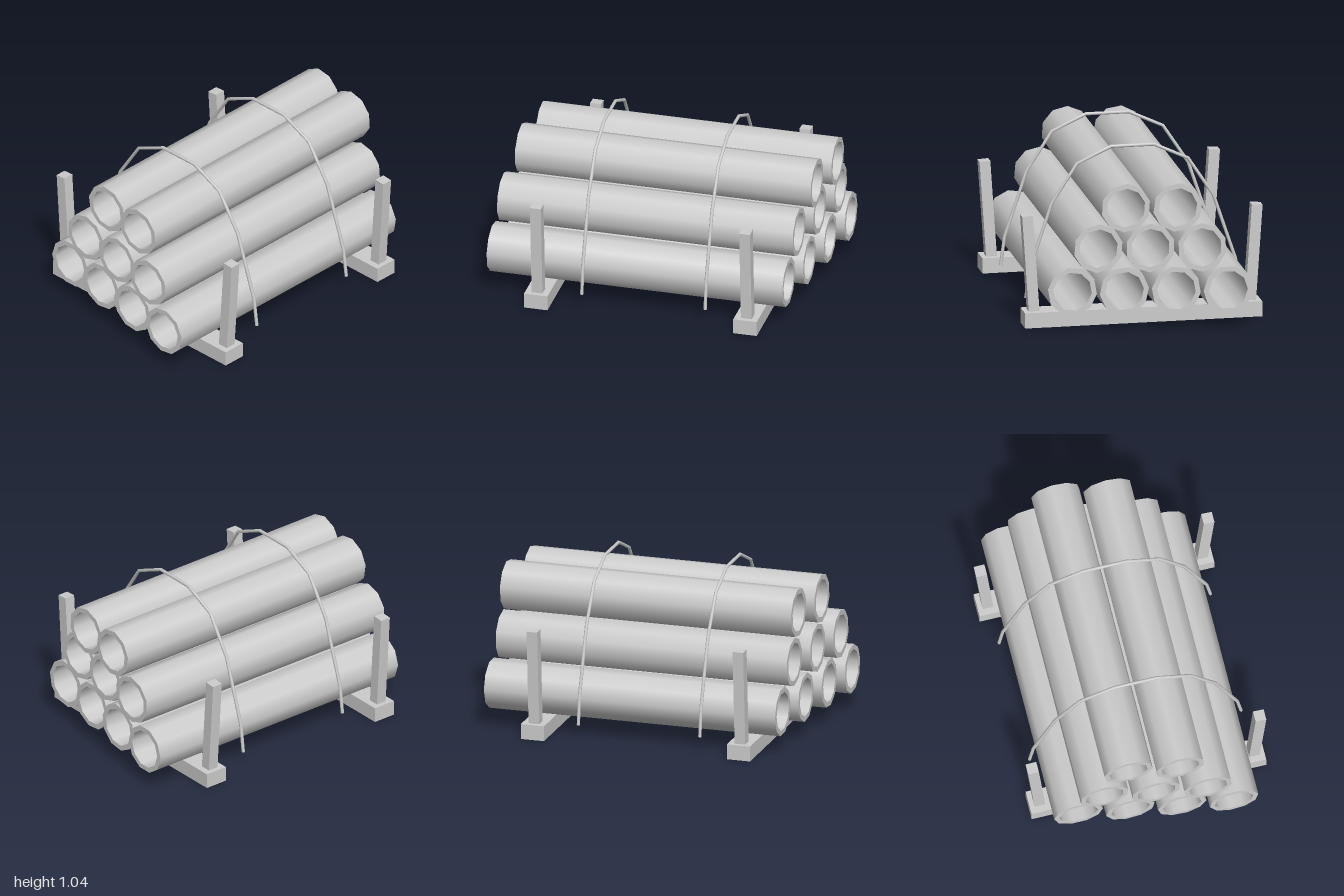
import * as THREE from 'three';

// Strap path made of straight runs, sampled exactly at its corners
class CornerPath extends THREE.Curve {
  constructor(points) {
    super();
    this.points = points;
  }
  getPoint(t, target = new THREE.Vector3()) {
    const n = this.points.length - 1;
    const s = THREE.MathUtils.clamp(t, 0, 1) * n;
    const i = Math.min(Math.floor(s), n - 1);
    return target.lerpVectors(this.points[i], this.points[i + 1], s - i);
  }
  getPointAt(u, target) { return this.getPoint(u, target); }
  getTangentAt(u, target) { return this.getTangent(u, target); }
}

const rect = (Type, hx, hy) => {
  const p = new Type();
  p.moveTo(-hx, -hy);
  p.lineTo(hx, -hy);
  p.lineTo(hx, hy);
  p.lineTo(-hx, hy);
  p.closePath();
  return p;
};

export function createModel() {
  const model = new THREE.Group();
  model.name = 'pipeRack';
  const grey = new THREE.MeshStandardMaterial({ color: 0xcccccc });
  grey.name = 'plain grey';

  const add = (parent, name, geometry, x = 0, y = 0, z = 0) => {
    const mesh = new THREE.Mesh(geometry, grey);
    mesh.name = name;
    mesh.position.set(x, y, z);
    parent.add(mesh);
    return mesh;
  };

  // Ten-sided hollow pipe; doubled profile points keep the rims sharp
  const OUTER = 0.153, INNER = 0.121, LENGTH = 1.86;
  const h = LENGTH / 2;
  const profile = [
    [OUTER, -h], [OUTER, h], [OUTER, h], [INNER, h], [INNER, h],
    [INNER, -h], [INNER, -h], [OUTER, -h],
  ].map(([x, y]) => new THREE.Vector2(x, y));
  const pipeGeometry = new THREE.LatheGeometry(profile, 10).rotateX(Math.PI / 2);

  // Stacked rows: [height, turn of each pipe in degrees]
  const pipes = new THREE.Group();
  pipes.name = 'pipes';
  model.add(pipes);
  const rows = [
    [0.252, [0, 8, -6, 8]],
    [0.521, [16, 18, 23]],
    [0.787, [27, 22]],
  ];
  rows.forEach(([y, turns], row) => turns.forEach((turn, i) => {
    const x = (i - (turns.length - 1) / 2) * 0.3125;
    // Each pipe is pushed a little further forward towards the left side
    const front = row === 2 ? 0.88 + 0.15 * x : 0.927 + 0.152 * x;
    const pipe = add(pipes, 'pipe', pipeGeometry, x - 0.001, y, front - h);
    pipe.rotation.z = THREE.MathUtils.degToRad(turn - 18);
  }));

  // Cross beams with a slot underneath, and leaning posts at both ends
  const frame = rect(THREE.Shape, 0.735, 0.074);
  frame.holes.push(rect(THREE.Path, 0.705, 0.036));
  const frameGeometry = new THREE.ExtrudeGeometry(frame, { depth: 0.06, bevelEnabled: false })
    .rotateX(-Math.PI / 2);
  const deckGeometry = new THREE.BoxGeometry(1.47, 0.035, 0.148);
  const postGeometry = new THREE.BoxGeometry(0.067, 0.675, 0.068);
  for (const side of [1, -1]) {
    const z = side * 0.658;
    const support = new THREE.Group();
    support.name = side > 0 ? 'frontSupport' : 'backSupport';
    model.add(support);
    add(support, 'beamFrame', frameGeometry, 0, 0, z);
    add(support, 'beamTop', deckGeometry, 0, 0.0775, z);
    for (const s of [1, -1]) {
      const post = add(support, s > 0 ? 'leftPost' : 'rightPost', postGeometry, s * 0.689, 0.357, z);
      post.rotation.z = -s * 0.068;
    }
  }

  // Straps arching over the stack
  const half = [[0.662, 0.1], [0.638, 0.28], [0.5, 0.69], [0.343, 0.928], [0.133, 1.025]];
  const points = [
    ...half.map(([x, y]) => new THREE.Vector3(-x, y, 0)),
    ...half.slice().reverse().map(([x, y]) => new THREE.Vector3(x, y, 0)),
  ];
  const strapGeometry = new THREE.TubeGeometry(new CornerPath(points), points.length - 1, 0.0105, 8);
  const capGeometry = new THREE.CircleGeometry(0.0105, 8).rotateX(Math.PI / 2);
  for (const z of [0.388, -0.388]) {
    add(model, z > 0 ? 'frontStrap' : 'backStrap', strapGeometry, 0, 0, z);
    for (const s of [1, -1]) add(model, 'strapEnd', capGeometry, s * 0.662, 0.1, z);
  }

  return model;
}
